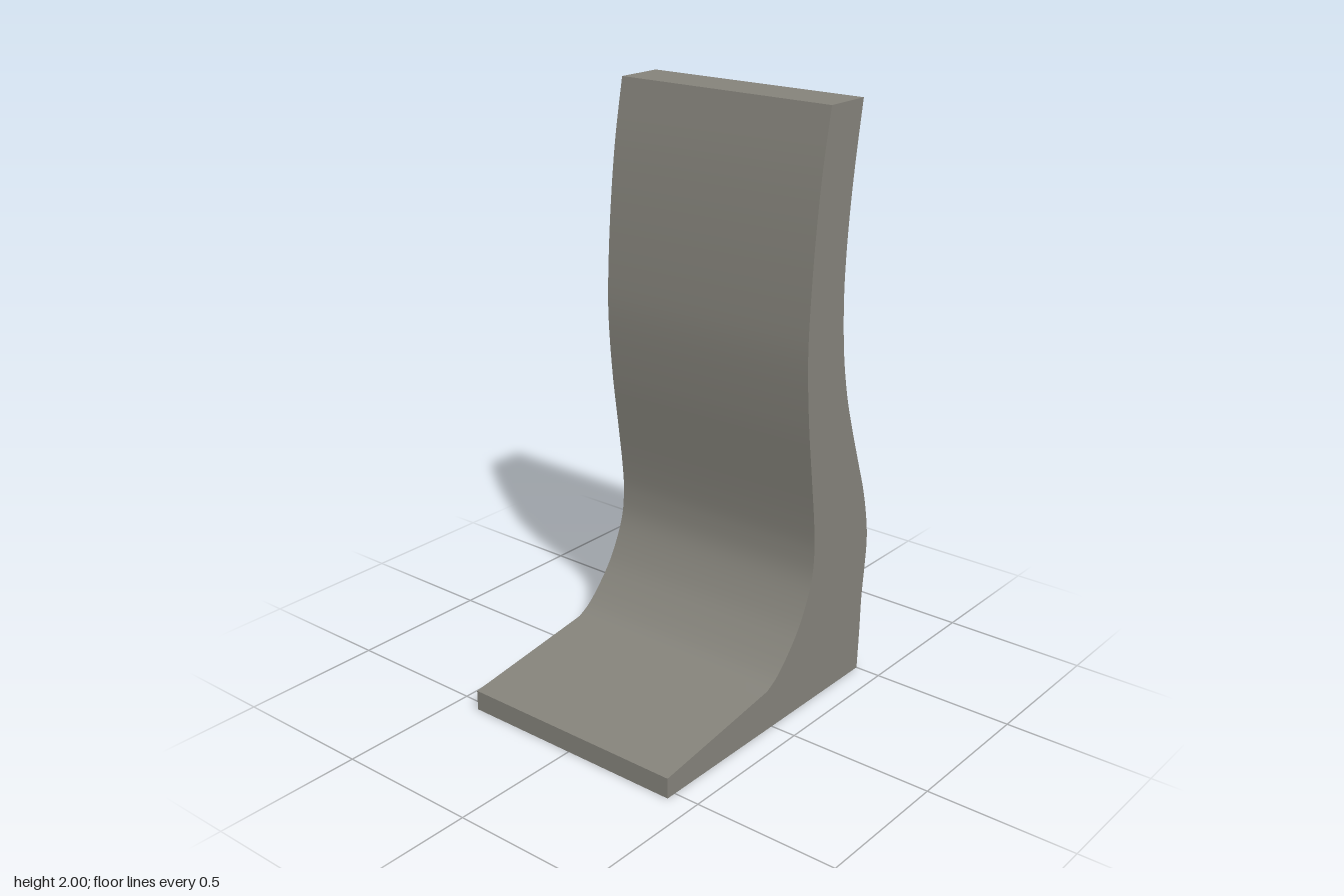
import * as THREE from 'three';
import { toCreasedNormals } from 'three/addons/utils/BufferGeometryUtils.js';

const WIDTH = 0.82;
const v = (pts) => pts.map(([z, y]) => new THREE.Vector2(z, y));

// Side profile as (z, y): front runs upward, back runs downward
const FRONT = v([[0.03, 0.143], [-0.02, 0.172], [-0.08, 0.23], [-0.145, 0.315], [-0.2, 0.435],
  [-0.215, 0.54], [-0.209, 0.65], [-0.187, 0.82], [-0.163, 1.0], [-0.147, 1.2], [-0.149, 1.36],
  [-0.165, 1.58], [-0.192, 1.8], [-0.23, 2]]);
const BACK = v([[-0.4, 2], [-0.367, 1.8], [-0.343, 1.6], [-0.333, 1.4], [-0.344, 1.21], [-0.37, 1.06],
  [-0.403, 0.944], [-0.45, 0.805], [-0.493, 0.68], [-0.519, 0.57], [-0.529, 0.48], [-0.522, 0.38],
  [-0.511, 0.27], [-0.507, 0.14], [-0.5, 0]]);
const backLine = new THREE.SplineCurve(BACK).getPoints(80);

// Depth of the back surface at height y
function backZ(y) {
  for (let i = 1; i < backLine.length; i++) {
    const a = backLine[i - 1], b = backLine[i];
    if (y >= b.y) return a.x + (b.x - a.x) * (a.y - y) / (a.y - b.y);
  }
  return backLine[backLine.length - 1].x;
}

// Rounded plate that follows the curved back
function backPlate(name, material, x0, x1, y0, y1, radius, lift, rows = 48) {
  const geo = new THREE.PlaneGeometry(1, 1, 1, rows).rotateY(Math.PI);
  const pos = geo.attributes.position;
  const half = (x1 - x0) / 2, tall = y1 - y0;
  for (let i = 0; i < pos.count; i++) {
    const t = (1 - Math.cos((pos.getY(i) + 0.5) * Math.PI)) / 2;
    const y = y0 + tall * t;
    const corner = Math.max(0, radius - Math.min(t, 1 - t) * tall);
    const inset = radius - Math.sqrt(Math.max(0, radius * radius - corner * corner));
    const x = (x0 + x1) / 2 + Math.sign(pos.getX(i)) * (half - inset);
    pos.setXYZ(i, x, y, backZ(y) - lift);
  }
  geo.computeVertexNormals();
  const mesh = new THREE.Mesh(geo, material);
  mesh.name = name;
  return mesh;
}

export function createModel() {
  const group = new THREE.Group();
  group.name = 'curvedKiosk';
  const bodyGrey = new THREE.MeshStandardMaterial({ color: 0x84827a });
  const black = new THREE.MeshStandardMaterial({ color: 0x262626 });
  const screenGrey = new THREE.MeshStandardMaterial({ color: 0xc6c6c6 });
  const slotWhite = new THREE.MeshStandardMaterial({ color: 0xe4e4e4 });
  bodyGrey.name = 'body grey';
  black.name = 'black';
  screenGrey.name = 'screen grey';
  slotWhite.name = 'slot white';

  // Body: profile extruded across the width
  const shape = new THREE.Shape();
  shape.moveTo(0.535, 0);
  shape.lineTo(0.535, 0.07);
  shape.lineTo(FRONT[0].x, FRONT[0].y);
  shape.splineThru(FRONT.slice(1));
  shape.lineTo(BACK[0].x, BACK[0].y);
  backLine.slice(1).forEach((p) => shape.lineTo(p.x, p.y));
  const geo = new THREE.ExtrudeGeometry(shape, { depth: WIDTH, bevelEnabled: false, curveSegments: 5 });
  geo.translate(0, 0, -WIDTH / 2).rotateY(-Math.PI / 2);
  const body = new THREE.Mesh(toCreasedNormals(geo, 0.5), bodyGrey);
  body.name = 'body';
  group.add(body);

  // Screen with its dark frame, button and card slot on the back
  group.add(
    backPlate('screenFrame', black, -0.388, 0.388, 0.725, 1.965, 0.03, 0.004),
    backPlate('screen', screenGrey, -0.362, 0.362, 0.75, 1.94, 0.02, 0.008),
    backPlate('button', black, -0.033, 0.033, 0.605, 0.69, 0.02, 0.005, 16),
    backPlate('slot', slotWhite, -0.39, 0.3, 0.527, 0.536, 0.002, 0.004, 2),
  );
  return group;
}
